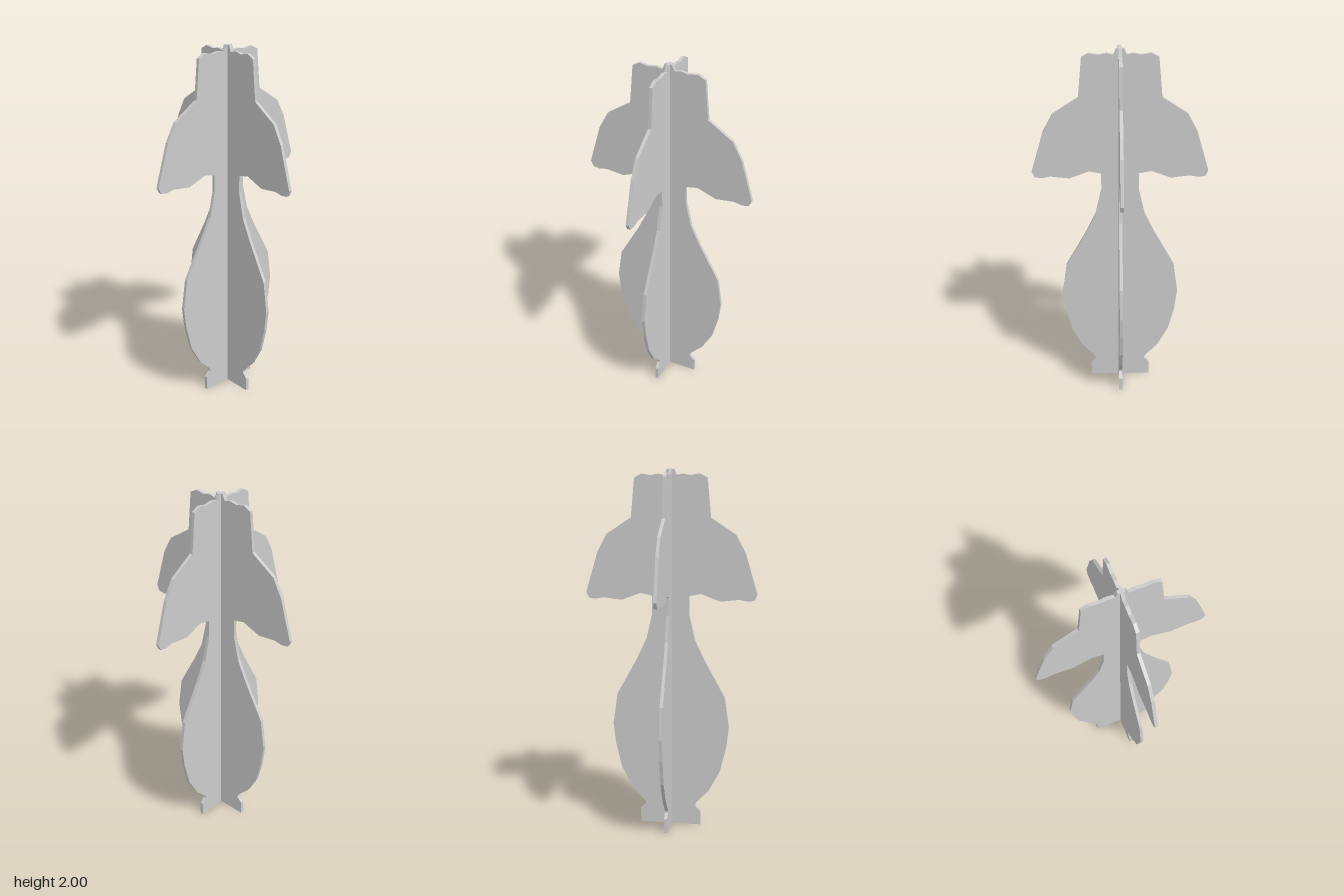
import * as THREE from 'three';

// Half outline of the fin, from the foot up to the tip
const PROFILE = [
  [0.172, 0], [0.172, 0.08], [0.145, 0.108], [0.143, 0.118], [0.153, 0.135],
  [0.22, 0.205], [0.282, 0.32], [0.316, 0.46], [0.33, 0.58], [0.305, 0.752],
  [0.19, 0.96], [0.135, 1.075], [0.103, 1.215], [0.103, 1.315],
  [0.17, 1.328], [0.276, 1.288], [0.38, 1.3], [0.425, 1.291], [0.462, 1.296],
  [0.478, 1.328], [0.41, 1.555], [0.357, 1.652], [0.22, 1.742],
  [0.2, 1.955], [0.16, 1.976], [0.11, 1.967], [0.07, 1.975], [0.033, 1.968], [0.02, 2.0],
];
const THICKNESS = 0.018;

// Mirrored outline extruded into a thin plate centred on its plane
function plateGeometry() {
  const right = PROFILE.map(([x, y]) => new THREE.Vector2(x, y));
  const left = PROFILE.map(([x, y]) => new THREE.Vector2(-x, y)).reverse();
  const geometry = new THREE.ExtrudeGeometry(new THREE.Shape([...right, ...left]), {
    depth: THICKNESS, bevelEnabled: false,
  });
  return geometry.translate(0, 0, -THICKNESS / 2);
}

export function createModel() {
  const model = new THREE.Group();
  model.name = 'crossedPlates';
  const material = new THREE.MeshStandardMaterial({ color: 0xcccccc, flatShading: true });
  const geometry = plateGeometry();

  // Two identical plates crossing at a right angle
  ['widthPlate', 'depthPlate'].forEach((name, i) => {
    const plate = new THREE.Mesh(geometry, material);
    plate.name = name;
    plate.rotation.y = (i * Math.PI) / 2;
    model.add(plate);
  });
  return model;
}
